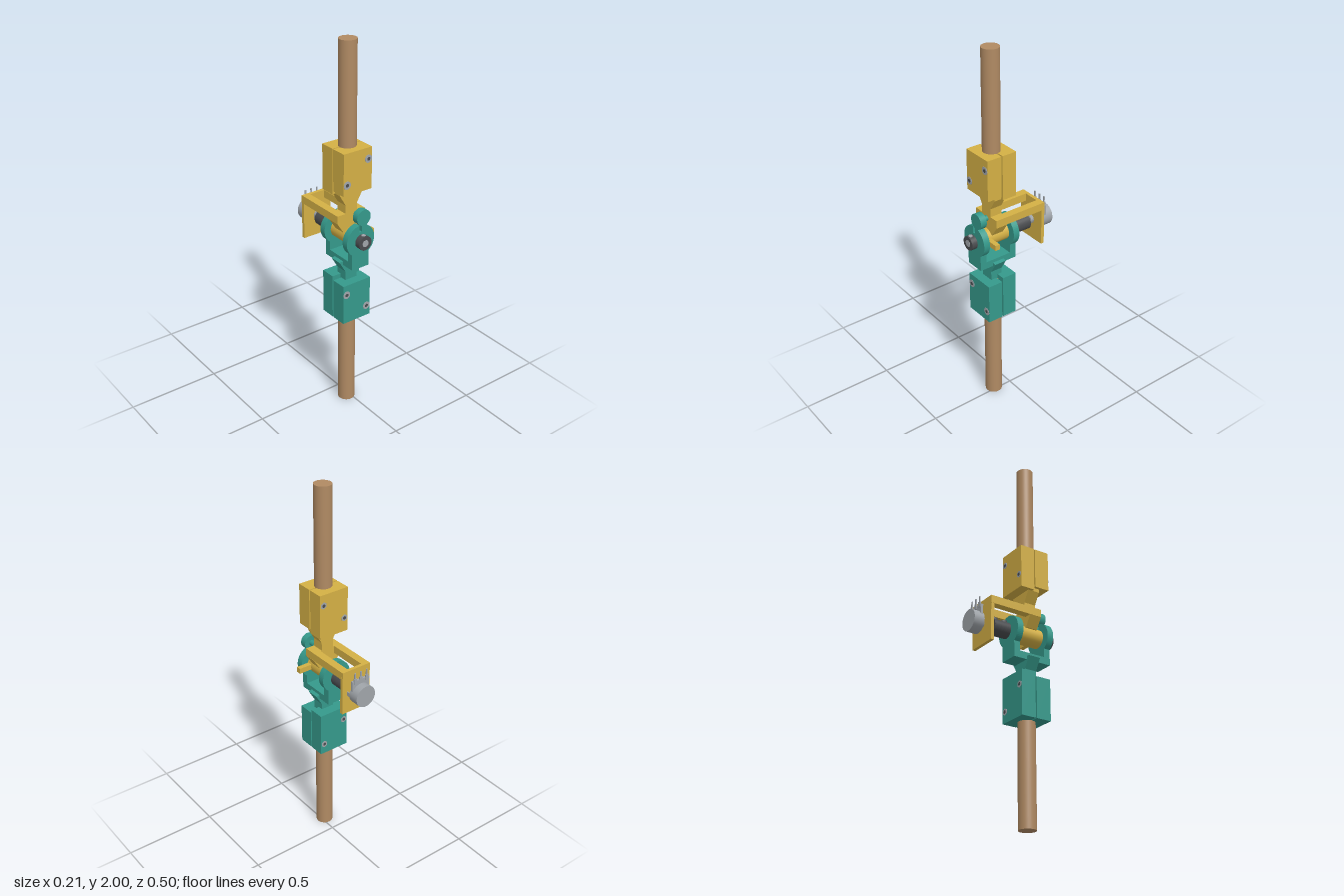
import * as THREE from 'three';

const mat = (name, color) => Object.assign(new THREE.MeshStandardMaterial({ color }), { name });
const CX = -0.018; // x of the rods and hinge axis
const CY = 1.003; // height of the hinge axis
const RZ = 0.098; // z of the rods

export function createModel() {
  const wood = mat('wood', 0xb08a63);
  const yellow = mat('yellow plastic', 0xd4b045);
  const teal = mat('teal plastic', 0x35998b);
  const dark = mat('dark metal', 0x4a4c4f);
  const steel = mat('steel', 0xa0a5aa);
  const model = new THREE.Group();

  const group = (name) => {
    const g = new THREE.Group();
    g.name = name;
    model.add(g);
    return g;
  };
  const add = (parent, name, geometry, material) => {
    const m = new THREE.Mesh(geometry, material);
    m.name = name;
    parent.add(m);
    return m;
  };
  // Box given by its limits
  const box = (p, name, m, x0, x1, y0, y1, z0, z1) => add(p, name,
    new THREE.BoxGeometry(x1 - x0, y1 - y0, z1 - z0)
      .translate((x0 + x1) / 2, (y0 + y1) / 2, (z0 + z1) / 2), m);
  // Cylinder along z
  const cylZ = (p, name, m, r, z0, z1, x = CX, y = CY, sides = 32, r0 = r) => add(p, name,
    new THREE.CylinderGeometry(r, r0, z1 - z0, sides).rotateX(Math.PI / 2)
      .translate(x, y, (z0 + z1) / 2), m);
  // Cylinder along y
  const cylY = (p, name, m, r, y0, y1, x, z, sides = 32) => add(p, name,
    new THREE.CylinderGeometry(r, r, y1 - y0, sides).translate(x, (y0 + y1) / 2, z), m);
  // Flat outline in x and y, extruded from z0 to z1
  const plate = (p, name, m, shape, z0, z1) => add(p, name,
    new THREE.ExtrudeGeometry(shape, { depth: z1 - z0, bevelEnabled: false, curveSegments: 24 })
      .translate(0, 0, z0), m);
  // Symmetric outline from [half width, y] pairs
  const symmetric = (pairs) => new THREE.Shape([
    ...pairs.map(([w, y]) => new THREE.Vector2(CX + w, y)),
    ...pairs.slice().reverse().map(([w, y]) => new THREE.Vector2(CX - w, y)),
  ]);

  // Rods
  const rods = group('rods');
  cylY(rods, 'upperRod', wood, 0.045, 1.26, 2, CX, RZ, 40);
  cylY(rods, 'lowerRod', wood, 0.045, 0, 0.75, CX, RZ, 40);

  // Split clamps with two through screws each
  for (const [name, m, s] of [['upperClamp', yellow, 1], ['lowerClamp', teal, -1]]) {
    const g = group(name);
    const span = (a, b) => [1.005 + s * a, 1.005 + s * b].sort((p, q) => p - q);
    box(g, 'frontHalf', m, -0.104, 0.066, ...span(0.25, 0.47), 0.1, 0.183);
    box(g, 'backHalf', m, -0.104, 0.066, ...span(0.23, 0.47), 0.012, 0.093);
    for (const [x, d] of [[0.044, 0.412], [-0.083, 0.305]]) {
      const y = 1.005 + s * d;
      cylZ(g, 'screwShank', steel, 0.011, 0.02, 0.17, x, y, 16);
      cylZ(g, 'screwHead', steel, 0.021, 0.17, 0.185, x, y, 24);
      cylZ(g, 'screwSocket', dark, 0.01, 0.184, 0.186, x, y, 6);
      cylZ(g, 'screwNut', steel, 0.019, 0.01, 0.03, x, y, 6);
      cylZ(g, 'screwTip', dark, 0.009, 0.009, 0.012, x, y, 16);
    }
  }

  // Upper joint: neck, crossbar, barrel and stop peg
  const upper = group('upperJoint');
  plate(upper, 'neck', yellow, symmetric(
    [[0.035, 1.02], [0.035, 1.175], [0.07, 1.235], [0.07, 1.256]]), 0.066, 0.133);
  plate(upper, 'gusset', yellow, symmetric([[0.048, 1.03], [0.085, 1.088]]), 0.066, 0.133);
  cylZ(upper, 'barrel', yellow, 0.049, 0.028, 0.171, CX, CY, 40);
  box(upper, 'crossbar', yellow, -0.104, 0.066, 1.088, 1.13, 0.066, 0.133);
  box(upper, 'stopPeg', yellow, CX, 0.102, 0.988, 1.017, 0.14, 0.166);

  // Sensor bracket: two arms and a back plate with a bushing hole
  for (const [x0, x1] of [[-0.104, -0.062], [0.024, 0.066]]) {
    box(upper, 'bracketArm', yellow, x0, x1, 1.088, 1.13, -0.17, 0.067);
  }
  const back = symmetric([[0.085, 0.89], [0.085, 1.1]]);
  back.holes.push(new THREE.Path().absarc(CX, CY, 0.024, 0, Math.PI * 2, true));
  plate(upper, 'bracketPlate', yellow, back, -0.17, -0.152);
  box(upper, 'plateTop', yellow, -0.104, 0.066, 1.1, 1.13, -0.17, -0.152);

  // Lower joint: fork cheeks, bridge and flared neck
  const fork = group('fork');
  const cheek = (slotted) => {
    const s = new THREE.Shape();
    const R = 0.085, w = 0.052, h = 0.008;
    const a = Math.acos(w / R), b = Math.acos(h / R);
    s.moveTo(CX - w, 0.85);
    s.lineTo(CX + w, 0.85);
    if (slotted) {
      s.absarc(CX, CY, R, -a, b, false);
      s.lineTo(CX + h, 1.05);
      s.lineTo(CX - h, 1.05);
      s.absarc(CX, CY, R, Math.PI - b, Math.PI + a, false);
    } else {
      s.absarc(CX, CY, R, -a, Math.PI + a, false);
    }
    s.closePath();
    s.holes.push(new THREE.Path().absarc(CX, CY, 0.019, 0, Math.PI * 2, true));
    return s;
  };
  plate(fork, 'frontCheek', teal, cheek(true), 0.174, 0.209);
  plate(fork, 'backCheek', teal, cheek(false), -0.01, 0.025);
  cylZ(fork, 'lobe', teal, 0.042, 0.174, 0.209, 0.001, 1.123);
  cylZ(fork, 'lobePeg', teal, 0.015, 0.145, 0.175, 0.001, 1.123, 20);
  box(fork, 'bridge', teal, CX - 0.052, CX + 0.052, 0.85, 0.888, -0.01, 0.209);
  plate(fork, 'neck', teal, symmetric(
    [[0.036, 0.75], [0.036, 0.805], [0.072, 0.866], [0.052, 0.87]]), 0.066, 0.133);

  // Hinge axle, front collar and rear coupler
  const axle = group('axle');
  cylZ(axle, 'shaft', steel, 0.018, -0.15, 0.249, CX, CY, 24);
  const tube = (name, r, z0, z1) => {
    const s = new THREE.Shape().absarc(CX, CY, r, 0, Math.PI * 2, false);
    s.holes.push(new THREE.Path().absarc(CX, CY, 0.018, 0, Math.PI * 2, true));
    plate(axle, name, dark, s, z0, z1);
  };
  tube('collar', 0.038, 0.215, 0.247);
  cylY(axle, 'collarScrew', steel, 0.011, CY + 0.02, CY + 0.04, CX, 0.231, 16);
  tube('coupler', 0.043, -0.118, -0.022);
  for (const z of [-0.097, -0.04]) {
    cylY(axle, 'couplerNut', dark, 0.02, CY + 0.02, CY + 0.048, CX, z, 6);
    cylY(axle, 'couplerScrew', steel, 0.011, CY + 0.02, CY + 0.05, CX, z, 16);
  }

  // Rotary sensor behind the bracket
  const sensor = group('rotarySensor');
  cylZ(sensor, 'bushing', steel, 0.019, -0.19, -0.118, CX, CY, 24);
  cylZ(sensor, 'bushingNut', steel, 0.026, -0.152, -0.136, CX, CY, 6);
  cylZ(sensor, 'spacer', steel, 0.026, -0.182, -0.17);
  cylZ(sensor, 'washer', steel, 0.038, -0.192, -0.182);
  cylZ(sensor, 'can', steel, 0.058, -0.248, -0.19, CX, CY, 40);
  box(sensor, 'keyTab', steel, 0.033, 0.039, 0.992, 1.014, -0.192, -0.166);
  box(sensor, 'terminalBoard', steel, CX - 0.052, CX + 0.052, 1.02, 1.085, -0.208, -0.196);
  for (const dx of [-0.036, 0, 0.036]) {
    box(sensor, 'terminal', steel, CX + dx - 0.008, CX + dx + 0.008, 1.07, 1.1, -0.211, -0.203);
    box(sensor, 'terminalPin', steel, CX + dx - 0.004, CX + dx + 0.004, 1.1, 1.13, -0.209, -0.204);
  }
  return model;
}
